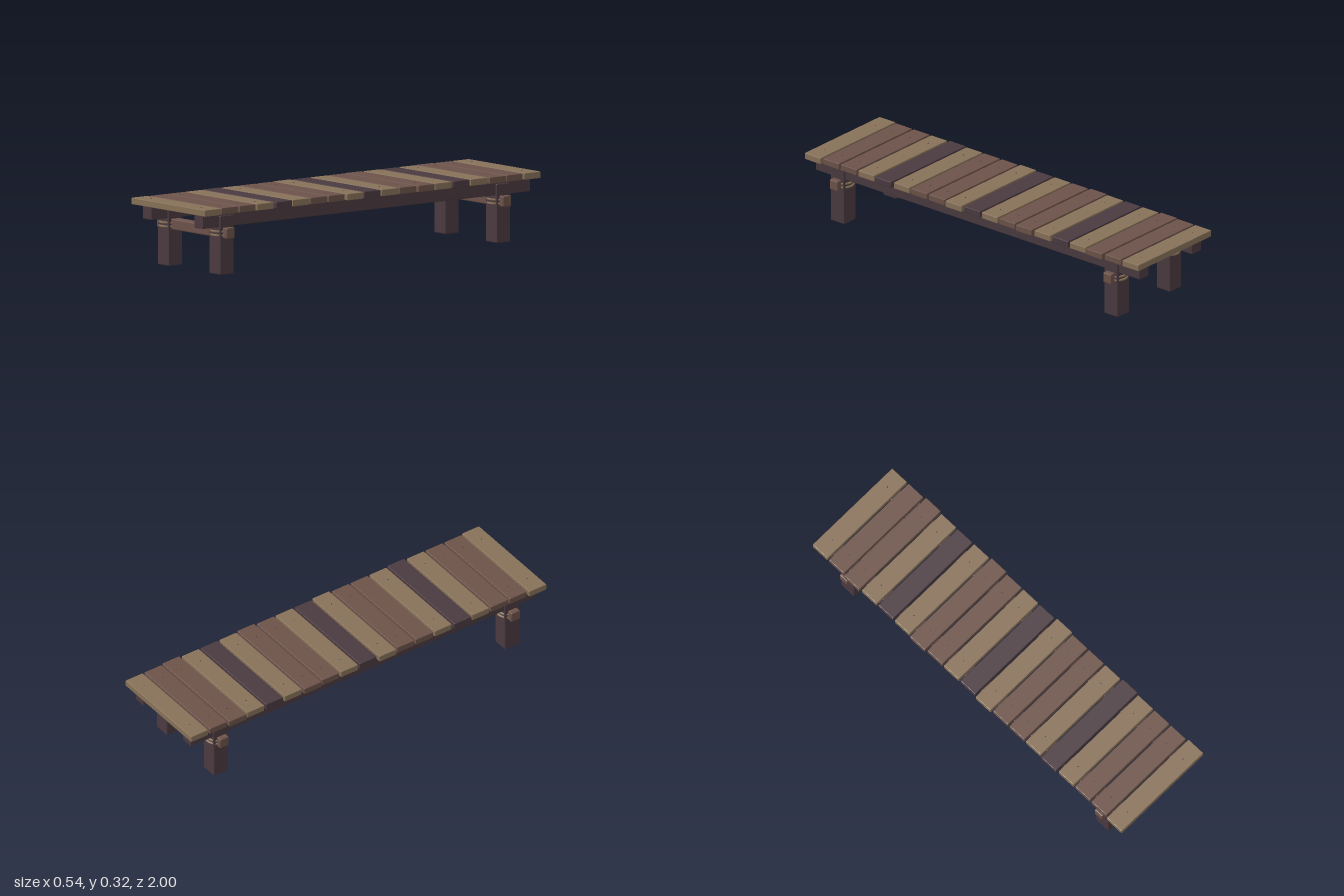
import * as THREE from 'three';
import { RoundedBoxGeometry } from 'three/addons/geometries/RoundedBoxGeometry.js';

const material = (name, color) => {
  const m = new THREE.MeshStandardMaterial({ color });
  m.name = name;
  return m;
};

// Timber with flat chamfered edges
function timber(name, mat, size, position, chamfer) {
  const geometry = new RoundedBoxGeometry(...size, 1, chamfer).toNonIndexed();
  geometry.computeVertexNormals();
  const mesh = new THREE.Mesh(geometry, mat);
  mesh.name = name;
  mesh.position.set(...position);
  return mesh;
}

export function createModel() {
  const group = new THREE.Group();
  group.name = 'woodenWalkway';
  const tan = material('tanWood', 0x877158);
  const brown = material('brownWood', 0x6c5249);
  const dark = material('darkWood', 0x4a3a40);

  // Deck planks, every fourth one slightly wider
  const pattern = [tan, brown, brown, tan, dark];
  const count = 19, depth = 0.096, top = 0.317;
  const nailGeometry = new THREE.CylinderGeometry(0.003, 0.003, 0.002, 6);
  for (let i = 0; i < count; i++) {
    const z = -1 + depth / 2 + (i * (2 - depth)) / (count - 1);
    const width = i % 4 === 2 ? 0.538 : 0.524;
    group.add(timber('plank', pattern[i % 5], [width, 0.031, depth], [0, 0.3015, z], 0.003));
    // Nail heads over the beams
    for (const x of [-0.182, 0.182]) {
      const nail = new THREE.Mesh(nailGeometry, dark);
      nail.name = 'nail';
      nail.position.set(x, top, z);
      group.add(nail);
    }
  }

  // Long beams under the deck
  const postX = 0.1875;
  for (const x of [-postX, postX]) {
    group.add(timber('beam', dark, [0.065, 0.065, 1.946], [x, 0.2545, 0], 0.004));
  }

  // Post pairs with a crossbar and rope lashings
  const ropeGeometry = new THREE.TorusGeometry(0.0485, 0.0055, 6, 20).rotateX(Math.PI / 2);
  for (const z of [0.836, -0.807]) {
    group.add(timber('crossbar', brown, [0.512, 0.05, 0.05], [0, 0.1945, z], 0.005));
    for (const x of [-postX, postX]) {
      group.add(timber('post', dark, [0.082, 0.275, 0.082], [x, 0.1375, z], 0.005));
      for (const y of [0.183, 0.201]) {
        const rope = new THREE.Mesh(ropeGeometry, tan);
        rope.name = 'ropeLashing';
        rope.position.set(x, y, z);
        group.add(rope);
      }
    }
  }
  return group;
}
